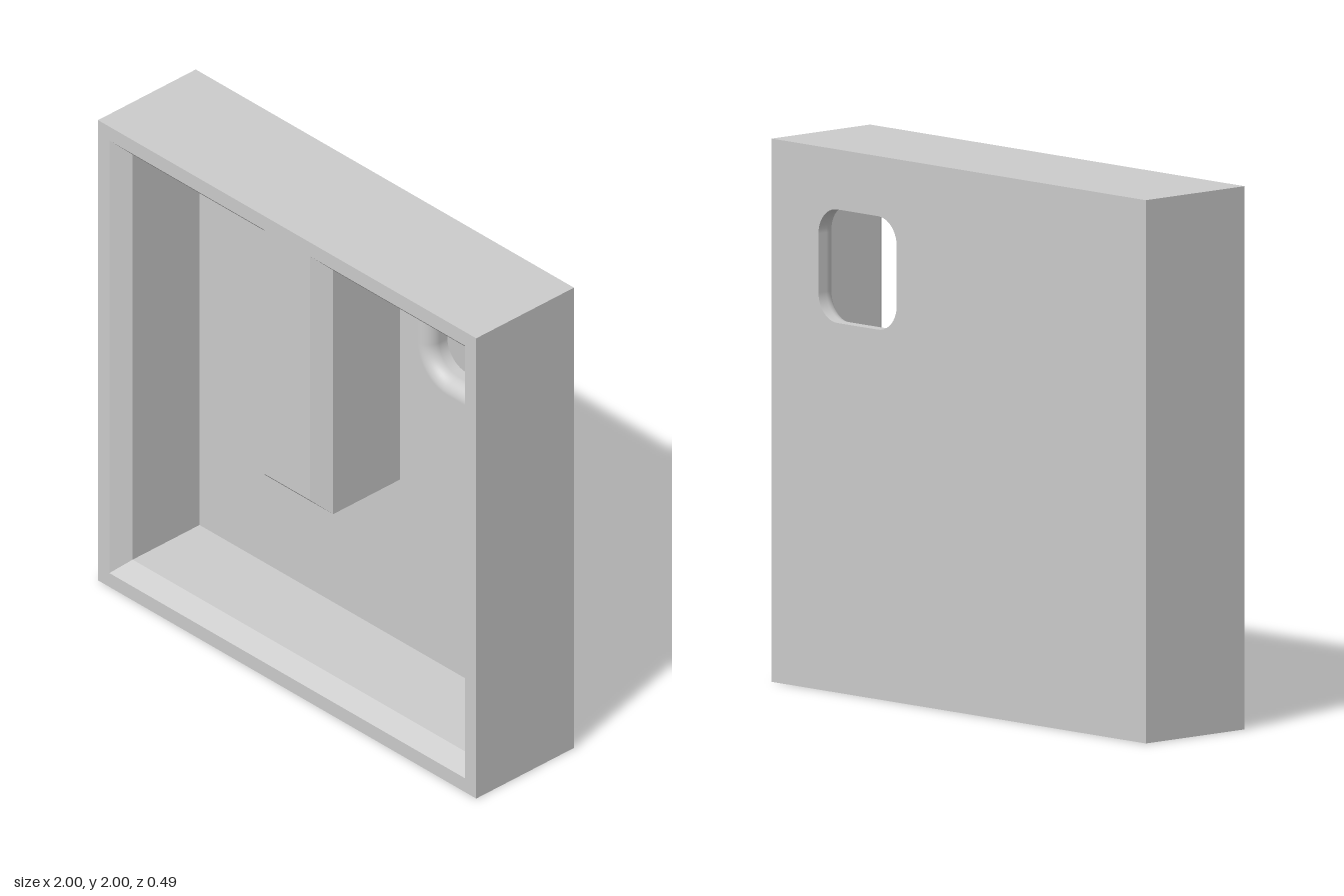
import * as THREE from 'three';

const DEPTH = 0.245;      // half depth of the case
const FLOOR = -0.15;      // z of the recessed floor
const BEVEL = 0.06;       // chamfer around the opening
const HOLE = { x: 0.54, y: 1.57, half: 0.209, corner: 0.1, fillet: 0.055 };

const material = new THREE.MeshStandardMaterial({ color: 0xcccccc });

// Outer square, counter-clockwise
const square = () => [[-1, 0], [1, 0], [1, 2], [-1, 2]];

// U-shaped pocket outline, shrunk by an inset, counter-clockwise
function pocket(inset) {
  const a = 0.94 - inset, b = 0.06 + inset, t = 1.94 - inset;
  const d = 0.12 + inset, m = 0.88 - inset;
  return [[-a, b], [a, b], [a, t], [d, t], [d, m], [-d, m], [-d, t], [-a, t]];
}

// Rounded square of the window, with the outward direction of each point
function windowRing(offset, cx = HOLE.x) {
  const ring = [], steps = 10, c = HOLE.half - HOLE.corner, r = HOLE.corner + offset;
  for (let k = 0; k < 4; k++) {
    const sx = k === 0 || k === 3 ? c : -c, sy = k < 2 ? c : -c;
    for (let i = 0; i <= steps; i++) {
      const t = (k + i / steps) * Math.PI / 2, dx = Math.cos(t), dy = Math.sin(t);
      ring.push([cx + sx + dx * r, HOLE.y + sy + dy * r, dx, dy]);
    }
  }
  return ring;
}

// Flat-shaded band between two outlines; faces inward when the first is in front
function band(loopA, zA, loopB, zB) {
  const pos = [];
  loopA.forEach((p, i) => {
    const j = (i + 1) % loopA.length;
    const A = [p[0], p[1], zA], B = [loopA[j][0], loopA[j][1], zA];
    const C = [loopB[j][0], loopB[j][1], zB], D = [loopB[i][0], loopB[i][1], zB];
    pos.push(...A, ...B, ...C, ...A, ...C, ...D);
  });
  const g = new THREE.BufferGeometry();
  g.setAttribute('position', new THREE.Float32BufferAttribute(pos, 3));
  g.computeVertexNormals();
  return g;
}

// Flat face with one cut-out
function face(outline, hole, z) {
  const toPoints = (loop) => loop.map((p) => new THREE.Vector2(p[0], p[1]));
  const shape = new THREE.Shape(toPoints(outline));
  shape.holes.push(new THREE.Path(toPoints(hole)));
  return new THREE.ShapeGeometry(shape).translate(0, 0, z);
}

// Window lining: rounded lip on the floor side, then a straight wall to the back
function windowLining() {
  const R = HOLE.fillet, steps = 10, pos = [], nor = [], idx = [];
  const rows = [];
  for (let i = steps; i >= 0; i--) {
    const a = (i / steps) * Math.PI / 2;
    rows.push({ offset: R * (1 - Math.cos(a)), z: FLOOR - R + R * Math.sin(a), a });
  }
  rows.push({ offset: 0, z: -DEPTH, a: 0 });
  let n = 0;
  rows.forEach(({ offset, z, a }, row) => {
    const ring = windowRing(offset);
    n = ring.length;
    ring.forEach(([x, y, dx, dy], i) => {
      pos.push(x, y, z);
      nor.push(-dx * Math.cos(a), -dy * Math.cos(a), Math.sin(a));
      if (row === 0) return;
      const j = (i + 1) % n, f = (row - 1) * n, b = row * n;
      idx.push(f + i, f + j, b + j, f + i, b + j, b + i);
    });
  });
  const g = new THREE.BufferGeometry();
  g.setAttribute('position', new THREE.Float32BufferAttribute(pos, 3));
  g.setAttribute('normal', new THREE.Float32BufferAttribute(nor, 3));
  g.setIndex(idx);
  return g;
}

export function createModel() {
  const model = new THREE.Group();
  model.name = 'case';
  const add = (name, geometry) => {
    const mesh = new THREE.Mesh(geometry, material);
    mesh.name = name;
    model.add(mesh);
  };

  // Outside of the case
  add('outerWalls', band(square(), -DEPTH, square(), DEPTH));
  add('frontRim', face(square(), pocket(0), DEPTH));
  add('backPanel', face(square(), windowRing(0, -HOLE.x), DEPTH).rotateY(Math.PI));

  // Pocket with its chamfered mouth and hanging divider
  add('chamfer', band(pocket(0), DEPTH, pocket(BEVEL), DEPTH - BEVEL));
  add('pocketWalls', band(pocket(BEVEL), DEPTH - BEVEL, pocket(BEVEL), FLOOR));
  add('pocketFloor', face(pocket(BEVEL), windowRing(HOLE.fillet), FLOOR));

  // Window through the floor
  add('windowLining', windowLining());
  return model;
}
